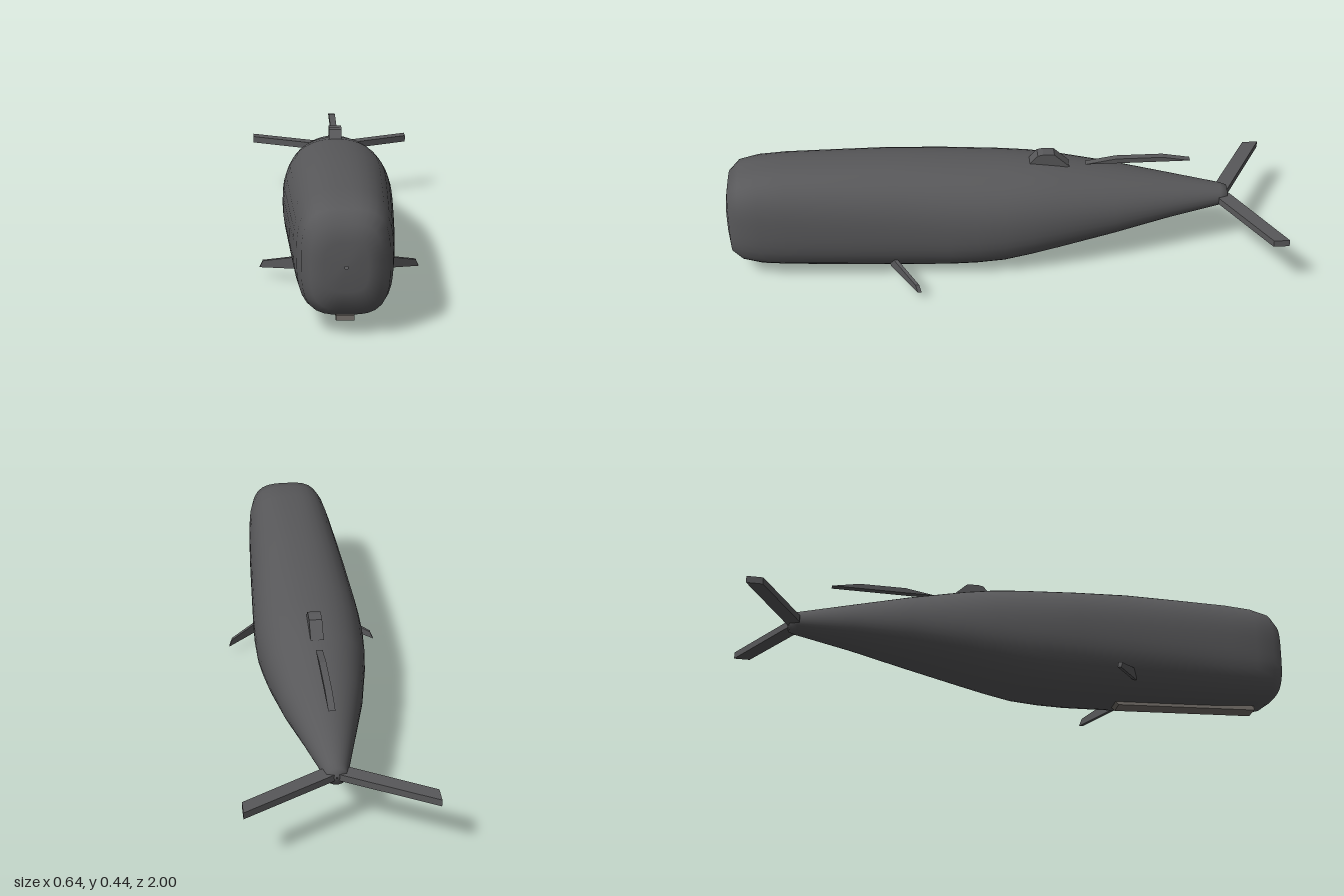
import * as THREE from 'three';

const skin = new THREE.MeshStandardMaterial({ color: 0x58585a, side: THREE.DoubleSide });
const jawSkin = new THREE.MeshStandardMaterial({ color: 0x77726c, side: THREE.DoubleSide });

function part(name, geometry, material = skin) {
  const mesh = new THREE.Mesh(geometry, material);
  mesh.name = name;
  return mesh;
}

// Loft of superellipse rings; each section is [z, bottom, top, halfWidth, exponent]
function loft(sections, sides) {
  const pos = [], index = [];
  const ring = sides + 1;
  sections.forEach(([z, bottom, top, w, n]) => {
    const cy = (bottom + top) / 2, h = (top - bottom) / 2;
    for (let i = 0; i <= sides; i++) {
      const a = ((i % sides) / sides) * Math.PI * 2;
      const c = Math.cos(a), s = Math.sin(a);
      const r = Math.pow(Math.abs(c) ** n + Math.abs(s) ** n, -1 / n);
      pos.push(c * r * w, cy + s * r * h, z);
    }
  });
  for (let j = 0; j < sections.length - 1; j++) {
    for (let i = 0; i < sides; i++) {
      const a = j * ring + i, b = a + ring;
      index.push(a, b, a + 1, a + 1, b, b + 1);
    }
  }
  const g = new THREE.BufferGeometry();
  g.setAttribute('position', new THREE.Float32BufferAttribute(pos, 3));
  g.setIndex(index);
  g.computeVertexNormals();
  // Match normals along the seam
  const nrm = g.attributes.normal, v = new THREE.Vector3(), u = new THREE.Vector3();
  for (let j = 0; j < sections.length; j++) {
    const a = j * ring, b = a + sides;
    v.fromBufferAttribute(nrm, a).add(u.fromBufferAttribute(nrm, b)).normalize();
    nrm.setXYZ(a, v.x, v.y, v.z);
    nrm.setXYZ(b, v.x, v.y, v.z);
  }
  return g;
}

// Slab with a side outline of [z, y] points, spanning x = -w..w
function sideSlab(points, w) {
  const shape = new THREE.Shape(points.map(([z, y]) => new THREE.Vector2(-z, y)));
  const g = new THREE.ExtrudeGeometry(shape, { depth: 2 * w, bevelEnabled: false });
  return g.translate(0, 0, -w).rotateY(Math.PI / 2);
}

// Slab with a top outline of [x, z] points, spanning y0..y1
function topSlab(points, y0, y1) {
  const shape = new THREE.Shape(points.map(([x, z]) => new THREE.Vector2(x, -z)));
  const g = new THREE.ExtrudeGeometry(shape, { depth: y1 - y0, bevelEnabled: false });
  return g.rotateX(-Math.PI / 2).translate(0, y0, 0);
}

export function createModel() {
  const model = new THREE.Group();
  model.name = 'whale';

  // Body from the blunt head to the tail stock
  model.add(part('body', loft([
    [1.0, 0.225, 0.235, 0.005, 3],
    [0.998, 0.15, 0.31, 0.07, 3.2],
    [0.988, 0.09, 0.367, 0.112, 3.4],
    [0.95, 0.062, 0.405, 0.14, 3.3],
    [0.88, 0.042, 0.424, 0.154, 3],
    [0.78, 0.032, 0.432, 0.163, 2.8],
    [0.6, 0.023, 0.434, 0.174, 2.6],
    [0.4, 0.014, 0.434, 0.184, 2.5],
    [0.2, 0.008, 0.424, 0.194, 2.4],
    [0.1, 0.01, 0.417, 0.197, 2.35],
    [0, 0.017, 0.411, 0.196, 2.3],
    [-0.1, 0.036, 0.403, 0.188, 2.25],
    [-0.2, 0.058, 0.389, 0.176, 2.2],
    [-0.4, 0.102, 0.352, 0.141, 2.1],
    [-0.6, 0.146, 0.31, 0.092, 2],
    [-0.8, 0.184, 0.266, 0.042, 2],
    [-0.825, 0.192, 0.256, 0.035, 2],
    [-0.832, 0.222, 0.226, 0.002, 2],
  ], 40)));

  // Narrow lower jaw under the head
  model.add(part('lowerJaw', sideSlab(
    [[0.9, 0.043], [0.9, 0.026], [0.38, 0.002], [0.36, 0.022]], 0.03), jawSkin));

  // Hump and the ridge behind it
  model.add(part('dorsalHump', sideSlab(
    [[-0.09, 0.395], [-0.125, 0.434], [-0.145, 0.438], [-0.185, 0.436], [-0.24, 0.385], [-0.2, 0.37]], 0.023)));
  model.add(part('backRidge', sideSlab(
    [[-0.3, 0.383], [-0.41, 0.402], [-0.58, 0.402], [-0.68, 0.384]], 0.012)));

  // Mirrored flippers and tail flukes
  for (const [label, s] of [['left', 1], ['right', -1]]) {
    model.add(part(label + 'Fluke', topSlab(
      [[0, -0.785], [s * 0.05, -0.793], [s * 0.318, -0.943], [s * 0.318, -1.0], [s * 0.03, -0.842], [0, -0.825]],
      0.21, 0.235)));

    // Flipper outline in its own plane, then swept backward
    const outline = new THREE.Shape([[0.14, 0.1], [0.14, 0.056], [0.279, 0.036], [0.268, 0.061]]
      .map(([x, y]) => new THREE.Vector2(s * x, y)));
    const g = new THREE.ExtrudeGeometry(outline, { depth: 0.014, bevelEnabled: false });
    const p = g.attributes.position;
    for (let i = 0; i < p.count; i++) {
      p.setZ(i, p.getZ(i) + 0.385 - (Math.abs(p.getX(i)) - 0.167) * 0.68);
    }
    g.computeVertexNormals();
    model.add(part(label + 'Flipper', g));
  }
  return model;
}
